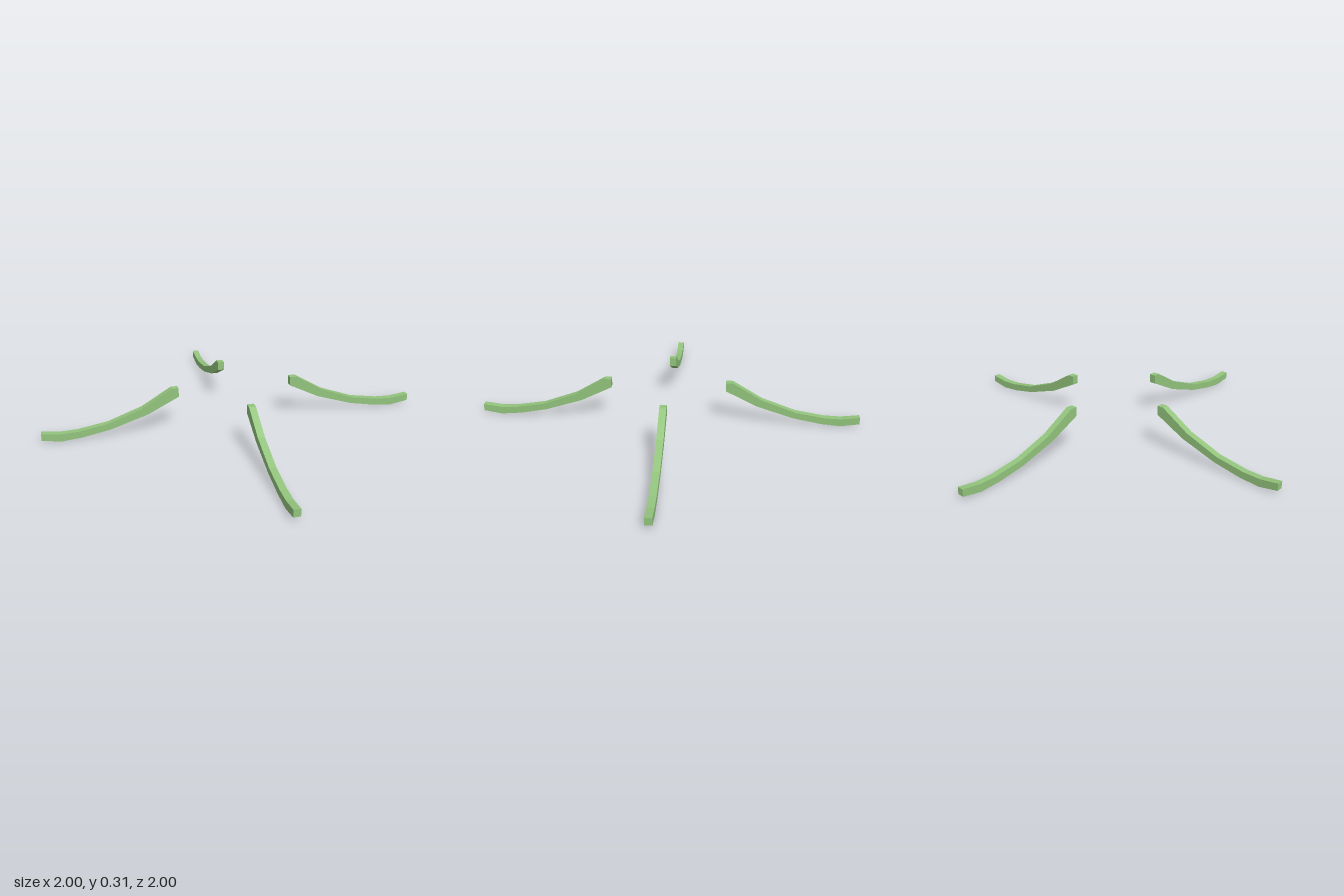
import * as THREE from 'three';

export function createModel() {
  const model = new THREE.Group();
  model.name = 'curvedLegs';
  const material = new THREE.MeshStandardMaterial({ color: 0x93c47d, flatShading: true });

  // Side outline of one leg: underside outwards, then upper side back to the flat-cut top
  const outline = [
    [0.295, 0.248], [0.454, 0.136], [0.645, 0.05], [0.785, 0.013], [0.887, 0], [0.983, 0.022],
    [0.983, 0.073], [0.89, 0.056], [0.805, 0.06], [0.655, 0.095], [0.48, 0.185], [0.33, 0.312], [0.295, 0.312],
  ];
  // The outline is measured along x, so stretch it to the diagonal
  const shape = new THREE.Shape(outline.map(([x, y]) => new THREE.Vector2(x * Math.SQRT2, y)));
  const width = 0.048;
  const geometry = new THREE.ExtrudeGeometry(shape, { depth: width, bevelEnabled: false });
  geometry.translate(0, 0, -width / 2);

  // Four identical legs on the diagonals
  const names = ['backLeftLeg', 'backRightLeg', 'frontRightLeg', 'frontLeftLeg'];
  names.forEach((name, i) => {
    const leg = new THREE.Mesh(geometry, material);
    leg.name = name;
    leg.rotation.y = Math.PI / 4 + i * Math.PI / 2;
    model.add(leg);
  });
  return model;
}
